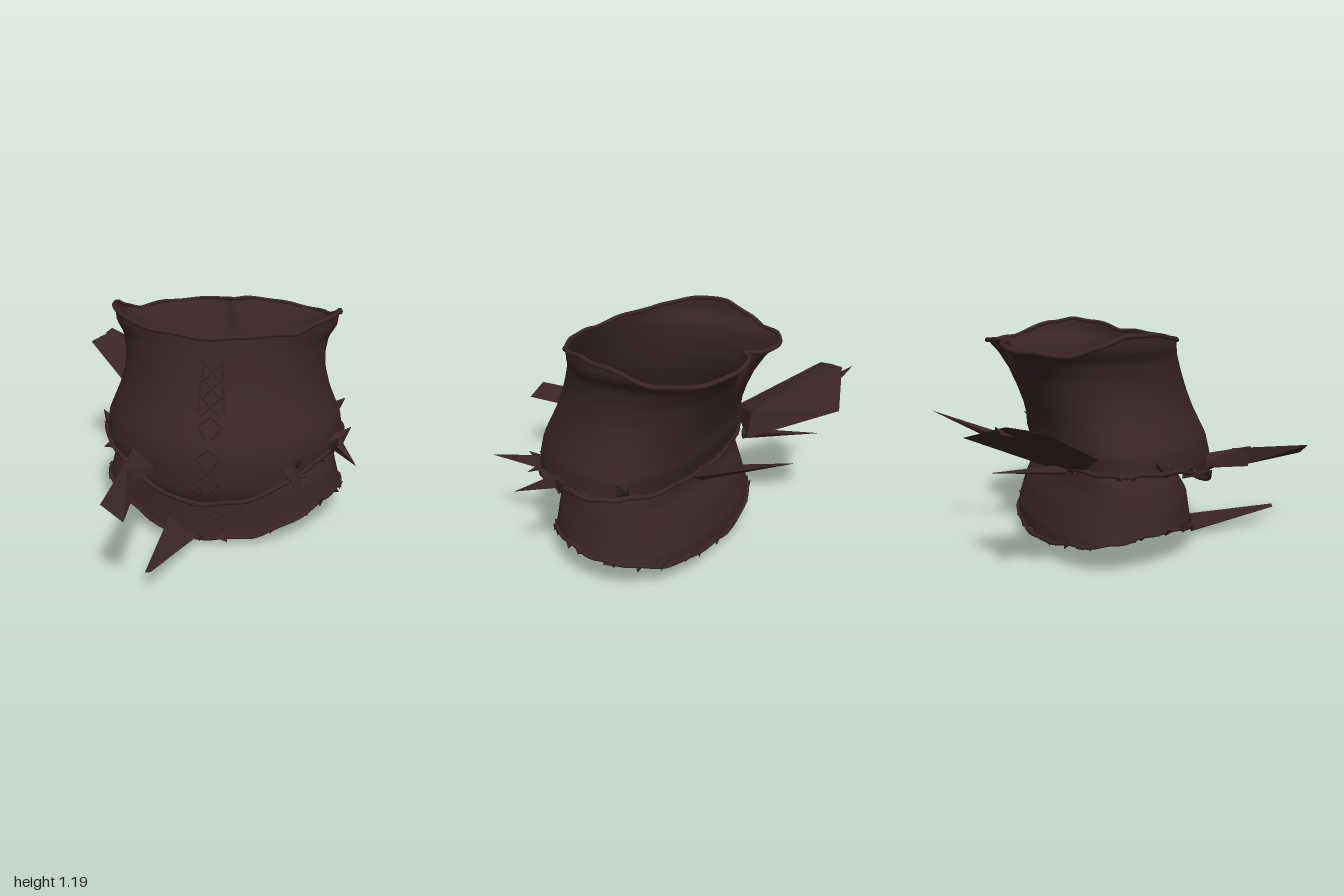
import * as THREE from 'three';
import { ConvexGeometry } from 'three/addons/geometries/ConvexGeometry.js';

const CX = 0.09, DEG = 180 / Math.PI;
const leather = new THREE.MeshStandardMaterial({ color: 0x3a2526, side: THREE.DoubleSide });
leather.name = 'dark brown leather';

// Cross-section rows: height, half width, front z, back z, z of the widest point, back fullness (2 = ellipse)
const BODICE = [[0.28, 0.61, 0.46, -0.43, -0.15, 2.35], [0.36, 0.635, 0.49, -0.44, -0.15, 2.35],
  [0.5, 0.665, 0.48, -0.45, -0.15, 2.35], [0.6, 0.65, 0.455, -0.48, -0.15, 2.35],
  [0.68, 0.615, 0.415, -0.49, -0.15, 2.35], [0.75, 0.585, 0.38, -0.51, -0.15, 2.35],
  [0.85, 0.557, 0.34, -0.55, -0.15, 2.35], [0.95, 0.55, 0.305, -0.595, -0.15, 2.4],
  [1.04, 0.565, 0.275, -0.65, -0.16, 2.6], [1.1, 0.605, 0.26, -0.7, -0.17, 2.8], [1.19, 0.618, 0.25, -0.73, -0.18, 2.8]];
const SKIRT = [[0.0, 0.69, 0.37, -0.555, -0.15, 2.35], [0.17, 0.675, 0.345, -0.54, -0.15, 2.35],
  [0.3, 0.64, 0.33, -0.5, -0.15, 2.35], [0.4, 0.615, 0.27, -0.445, -0.17, 2.4],
  [0.46, 0.59, 0.19, -0.43, -0.2, 2.4], [0.56, 0.475, 0.08, -0.43, -0.26, 2.4]];

// Edge heights by angle: 0 = front, 90 = side, 180 = back
const RIM = [[0, 1.1], [25, 1.12], [40, 1.12], [52, 1.15], [75, 1.18], [95, 1.165], [120, 1.085], [145, 1.09], [180, 1.12]];
const WAIST = [[0, 0.285], [20, 0.312], [40, 0.41], [70, 0.5], [120, 0.51], [180, 0.48]];
const HEM = [[0, 0.035], [20, 0.05], [38, 0.12], [58, 0.18], [75, 0.2], [112, 0.17], [150, 0.11], [180, 0.08]];
const SKIRT_TOP = [[0, 0.55], [180, 0.55]];

function lookup(table, t) {
  let i = 1;
  while (i < table.length - 1 && t > table[i][0]) i++;
  const a = table[i - 1], b = table[i];
  const k = THREE.MathUtils.clamp((t - a[0]) / (b[0] - a[0]), 0, 1);
  return a.map((v, n) => v + (b[n] - v) * k);
}

const edge = (table, th) => lookup(table, Math.abs(Math.atan2(Math.sin(th), Math.cos(th))) * DEG)[1];

function pointOn(profile, th, y, grow = 0) {
  const [, ax, zf, zb, zc, full] = lookup(profile, y);
  let s = Math.sin(th), c = Math.cos(th);
  if (c < 0) {
    const r = (Math.abs(s) ** full + Math.abs(c) ** full) ** (-1 / full);
    s *= r;
    c *= r;
  }
  let z = zc + c * (c > 0 ? zf - zc + grow : zc - zb + grow);
  // heart-shaped notch at the back of the rim
  if (c < 0) z += 0.09 * Math.exp(-Math.abs(s) / 0.13) * THREE.MathUtils.smoothstep(y, 0.9, 1.12);
  return new THREE.Vector3(CX + s * (ax + grow), y, z);
}

// Closed cloth band between two edge curves
function sheet(profile, bottom, top, rows = 28, cols = 112) {
  const pos = [], idx = [];
  for (let i = 0; i <= rows; i++) {
    for (let j = 0; j < cols; j++) {
      const th = j / cols * Math.PI * 2;
      const y = THREE.MathUtils.lerp(edge(bottom, th), edge(top, th), i / rows);
      pos.push(...pointOn(profile, th, y).toArray());
      if (i === rows) continue;
      const a = i * cols + j, b = i * cols + (j + 1) % cols;
      idx.push(a, b, b + cols, a, b + cols, a + cols);
    }
  }
  const g = new THREE.BufferGeometry();
  g.setAttribute('position', new THREE.Float32BufferAttribute(pos, 3));
  g.setIndex(idx);
  g.computeVertexNormals();
  return g;
}

// Rolled seam following an edge curve
function seam(profile, table, radius, ripple) {
  const pts = [];
  for (let j = 0; j < 80; j++) {
    const th = j / 80 * Math.PI * 2;
    const p = pointOn(profile, th, edge(table, th), radius * 0.3);
    p.y += ripple * Math.sin(th * 11) * Math.cos(th * 4);
    pts.push(p);
  }
  return new THREE.TubeGeometry(new THREE.CatmullRomCurve3(pts, true), 200, radius, 7, true);
}

const hull = points => new ConvexGeometry(points.map(p => new THREE.Vector3(...p)));

// Faceted thorn from a base point to a tip
function thorn(base, tip, radius, sides = 4) {
  const a = new THREE.Vector3(...base), d = new THREE.Vector3(...tip).sub(a);
  const g = new THREE.ConeGeometry(radius, d.length(), sides).toNonIndexed();
  g.translate(0, d.length() / 2, 0);
  g.applyQuaternion(new THREE.Quaternion().setFromUnitVectors(new THREE.Vector3(0, 1, 0), d.normalize()));
  g.translate(a.x, a.y, a.z);
  g.computeVertexNormals();
  return g;
}

export function createModel() {
  const model = new THREE.Group();
  const add = (name, geometry, parent = model) => {
    const m = new THREE.Mesh(geometry, leather);
    m.name = name;
    parent.add(m);
  };
  const group = name => {
    const g = new THREE.Group();
    g.name = name;
    model.add(g);
    return g;
  };

  // Cloth panels and seams
  add('bodice', sheet(BODICE, WAIST, RIM));
  add('skirt', sheet(SKIRT, HEM, SKIRT_TOP));
  add('rimRoll', seam(BODICE, RIM, 0.012, 0.006));
  add('waistSeam', seam(BODICE, WAIST, 0.013, 0.008));
  add('hemSeam', seam(SKIRT, HEM, 0.01, 0.01));

  // Front lacing: crossed cords, wide on the bodice and loose lower down
  const laces = group('laces');
  const cord = (profile, x0, y0, x1, y1, lift = 0.004) => {
    const pts = [0, 0.5, 1].map(k => {
      const x = x0 + (x1 - x0) * k, y = y0 + (y1 - y0) * k;
      return pointOn(profile, Math.asin(x / lookup(profile, y)[1]), y, lift);
    });
    add('cord', new THREE.TubeGeometry(new THREE.CatmullRomCurve3(pts), 6, 0.006, 5), laces);
  };
  for (const s of [-1, 1]) {
    cord(BODICE, s * 0.045, 1.01, s * 0.065, 0.75, 0.016);
    for (const [y0, y1] of [[1.0, 0.9], [0.92, 0.82], [0.83, 0.74]]) cord(BODICE, s * 0.05, y0, -s * 0.05, y1, 0.012);
    for (const y of [0.69, 0.54, 0.42]) {
      cord(BODICE, s * 0.06, y, 0, y + 0.05);
      cord(BODICE, s * 0.06, y, s * 0.01, y - 0.06);
    }
    cord(SKIRT, s * 0.06, 0.4, -s * 0.05, 0.5);
    cord(BODICE, s * 0.03, 0.37, s * 0.08, 0.33);
  }
  const low = [[-0.06, 0.27], [0.06, 0.26], [-0.04, 0.21], [0.07, 0.17], [0.0, 0.14], [0.07, 0.09]];
  for (let i = 1; i < low.length; i++) cord(SKIRT, ...low[i - 1], ...low[i]);

  // Large torn flaps
  const flaps = group('tornFlaps');
  add('backFlap', hull([[-0.48, 0.58, -0.33], [-0.42, 0.52, -0.38], [-0.25, 0.5, -0.5], [-0.3, 0.64, -0.5],
    [-0.84, 0.8, -0.68], [-0.79, 0.82, -0.76], [-0.74, 0.83, -0.84], [-0.38, 0.72, -0.96]]), flaps);
  add('backFlapTatter', hull([[-0.72, 0.78, -0.8], [-0.8, 0.81, -0.87], [-0.76, 0.84, -0.89], [-0.66, 0.8, -0.87]]), flaps);
  add('frontFlapRoot', hull([[-0.37, 0.46, 0.18], [-0.18, 0.44, 0.38], [-0.3, 0.53, 0.62],
    [-0.31, 0.42, 0.6], [-0.26, 0.45, 0.6], [-0.33, 0.52, 0.3]]), flaps);
  add('frontFlap', hull([[-0.31, 0.53, 0.5], [-0.25, 0.43, 0.5], [-0.32, 0.51, 0.98],
    [-0.21, 0.44, 1.0], [-0.3, 0.43, 0.6]]), flaps);
  add('hemFlap', hull([[-0.17, 0.04, 0.33], [-0.09, 0.003, 0.37], [0.02, 0.05, 0.38],
    [-0.14, 0.13, 0.34], [-0.03, 0.09, 0.44], [-0.15, 0.11, 0.87], [-0.12, 0.12, 0.88]]), flaps);

  // Long thorns: base, tip, radius
  const thorns = group('thorns');
  const list = [
    [[0.2, 0.47, -0.44], [0.33, 0.73, -1.0], 0.045], [[-0.3, 0.5, -0.45], [-0.42, 0.55, -0.85], 0.03],
    [[0.48, 0.45, 0.27], [0.565, 0.45, 0.63], 0.06], [[0.42, 0.42, 0.34], [0.6, 0.43, 0.36], 0.035],
    [[0.48, 0.43, 0.3], [0.55, 0.53, 0.38], 0.05], [[0.7, 0.52, 0.05], [0.83, 0.455, 0.25], 0.045],
    [[0.72, 0.5, 0.03], [0.8, 0.58, 0.01], 0.045], [[0.69, 0.56, -0.3], [0.77, 0.61, -0.38], 0.045],
    [[-0.52, 0.5, 0.0], [-0.6, 0.57, -0.08], 0.045], [[-0.25, 0.44, 0.36], [-0.39, 0.46, 0.36], 0.045],
    [[-0.45, 0.47, 0.15], [-0.52, 0.46, 0.21], 0.045], [[0.7, 0.49, 0.1], [0.73, 0.58, 0.18], 0.04],
  ];
  for (const t of list) add('thorn', thorn(...t), thorns);

  // Small tatters scattered along the waist and hem
  let seed = 7;
  const rnd = () => (seed = (seed * 16807) % 2147483647) / 2147483647;
  const tatters = group('tatters');
  const scatter = (profile, table, count) => {
    for (let i = 0; i < count; i++) {
      const th = (i + rnd()) / count * Math.PI * 2;
      if (Math.cos(th) > 0.85 && profile === BODICE) continue;
      const y = edge(table, th);
      const base = pointOn(profile, th, y, -0.005);
      const tip = pointOn(profile, th + (rnd() - 0.5) * 0.2, y, 0.01 + rnd() * 0.015);
      tip.y += (rnd() - 0.4) * 0.06;
      add('tatter', thorn(base.toArray(), tip.toArray(), 0.016 + rnd() * 0.018, 3), tatters);
    }
  };
  scatter(BODICE, WAIST, 40);
  scatter(SKIRT, HEM, 34);
  return model;
}
